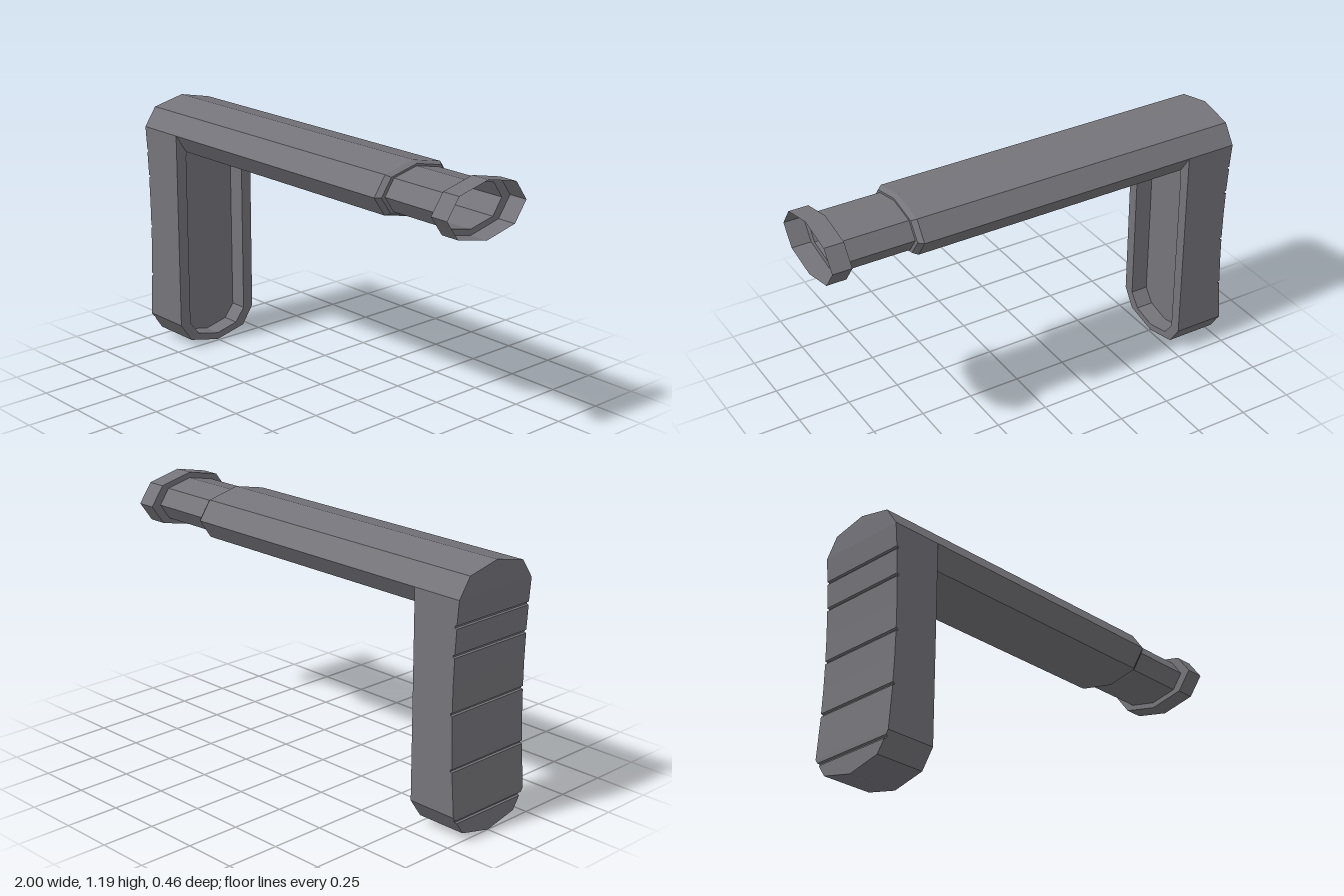
import * as THREE from 'three';

const darkGrey = new THREE.MeshStandardMaterial({ color: 0x75747a, flatShading: true, side: THREE.DoubleSide });
darkGrey.name = 'darkGrey';

// Collects four-cornered faces; mirrored() adds the same face on both sides of z = 0.
function faceBuilder() {
  const p = [];
  const quad = (a, b, c, d) => p.push(...a, ...b, ...c, ...a, ...c, ...d);
  const flip = ([x, y, z]) => [x, y, -z];
  const mirrored = (a, b, c, d) => {
    quad(a, b, c, d);
    quad(flip(d), flip(c), flip(b), flip(a));
  };
  const mesh = (name) => {
    const g = new THREE.BufferGeometry();
    g.setAttribute('position', new THREE.Float32BufferAttribute(p, 3));
    g.computeVertexNormals();
    const m = new THREE.Mesh(g, darkGrey);
    m.name = name;
    return m;
  };
  return { quad, mirrored, mesh };
}

// Flattened octagon across the tube axis
const AXIS_Y = 1.065;
function octagon([x, halfWidth, shoulderZ, halfHeight, shoulderY]) {
  return [
    [0, halfHeight], [shoulderZ, shoulderY], [halfWidth, 0], [shoulderZ, -shoulderY],
    [0, -halfHeight], [-shoulderZ, -shoulderY], [-halfWidth, 0], [-shoulderZ, shoulderY],
  ].map(([z, y]) => [x, AXIS_Y + y, z]);
}

function loft(name, sections, capped = false) {
  const f = faceBuilder();
  const rings = sections.map(octagon);
  for (let i = 0; i < rings.length - 1; i++) {
    for (let j = 0; j < 8; j++) {
      const k = (j + 1) % 8;
      f.quad(rings[i][j], rings[i][k], rings[i + 1][k], rings[i + 1][j]);
    }
  }
  if (capped) {
    const r = rings[0];
    for (let j = 1; j < 7; j += 2) f.quad(r[0], r[j + 2], r[j + 1], r[j]);
  }
  return f.mesh(name);
}

function stock() {
  const f = faceBuilder();
  const FRONT = -0.76, FLOOR = -0.845;

  // Half-width of the rounded outline at a height
  const outline = [[0, 0], [0.037, 0.16], [0.125, 0.22], [1.065, 0.22], [1.152, 0.16], [1.187, 0]];
  const width = (y) => {
    for (let i = 1; i < outline.length; i++) {
      const [y0, w0] = outline[i - 1], [y1, w1] = outline[i];
      if (y <= y1) return w0 + (w1 - w0) * (y - y0) / (y1 - y0);
    }
    return 0;
  };
  // Slightly hollow rear face
  const rear = (y) => -1 + 0.022 * Math.max(0, 1 - ((y - 0.6) / 0.47) ** 2);

  // Rows up the rear, with narrow grooves
  const rows = [...outline.map(([y]) => y), 0.45, 0.7].map((y) => [y, rear(y)]);
  for (const g of [0.1, 0.33, 0.575, 0.825, 0.95]) {
    rows.push([g - 0.007, rear(g)], [g - 0.004, rear(g) + 0.01], [g + 0.004, rear(g) + 0.01], [g + 0.007, rear(g)]);
  }
  rows.sort((a, b) => a[0] - b[0]);
  for (let i = 0; i < rows.length - 1; i++) {
    const [y0, x0] = rows[i], [y1, x1] = rows[i + 1];
    const w0 = width(y0), w1 = width(y1);
    const xf = y0 >= 1.06 ? -0.85 : FRONT;
    f.mirrored([x0, y0, w0], [xf, y0, w0], [xf, y1, w1], [x1, y1, w1]);
    f.quad([x0, y0, -w0], [x0, y0, w0], [x1, y1, w1], [x1, y1, -w1]);
  }

  // Front rim (outer and inner edge) and the recess behind it: [outerY, outerZ, innerY, innerZ]
  const rim = [
    [0, 0, 0.033, 0], [0.037, 0.16, 0.06, 0.115], [0.125, 0.22, 0.125, 0.165],
    [0.955, 0.22, 0.955, 0.165], [0.975, 0.22, 0.975, 0.16], [1.065, 0.22, 1.065, 0.22],
  ];
  for (let i = 0; i < rim.length - 1; i++) {
    const [a, b, c, d] = rim[i], [e, g, h, k] = rim[i + 1];
    f.mirrored([FRONT, a, b], [FRONT, c, d], [FRONT, h, k], [FRONT, e, g]);
    if (i < 4) {
      f.mirrored([FRONT, c, d], [FLOOR, c, d], [FLOOR, h, k], [FRONT, h, k]);
      f.quad([FLOOR, c, d], [FLOOR, c, -d], [FLOOR, h, -k], [FLOOR, h, k]);
    }
  }
  return f.mesh('stock');
}

export function createModel() {
  const group = new THREE.Group();
  group.name = 'shoulderStock';
  group.add(stock());
  // Main tube with a chamfered shoulder stepping to the narrow tube
  group.add(loft('mainTube', [
    [-0.85, 0.22, 0.16, 0.122, 0.087],
    [0.575, 0.22, 0.16, 0.122, 0.087],
    [0.597, 0.2, 0.145, 0.11, 0.078],
    [0.597, 0.18, 0.13, 0.1, 0.072],
  ], true));
  group.add(loft('narrowTube', [
    [0.597, 0.18, 0.13, 0.1, 0.072],
    [0.91, 0.18, 0.13, 0.1, 0.072],
  ]));
  // Open collar at the end
  group.add(loft('endCollar', [
    [0.91, 0.18, 0.13, 0.1, 0.072],
    [0.91, 0.23, 0.165, 0.127, 0.09],
    [1, 0.23, 0.165, 0.127, 0.09],
  ]));
  return group;
}
